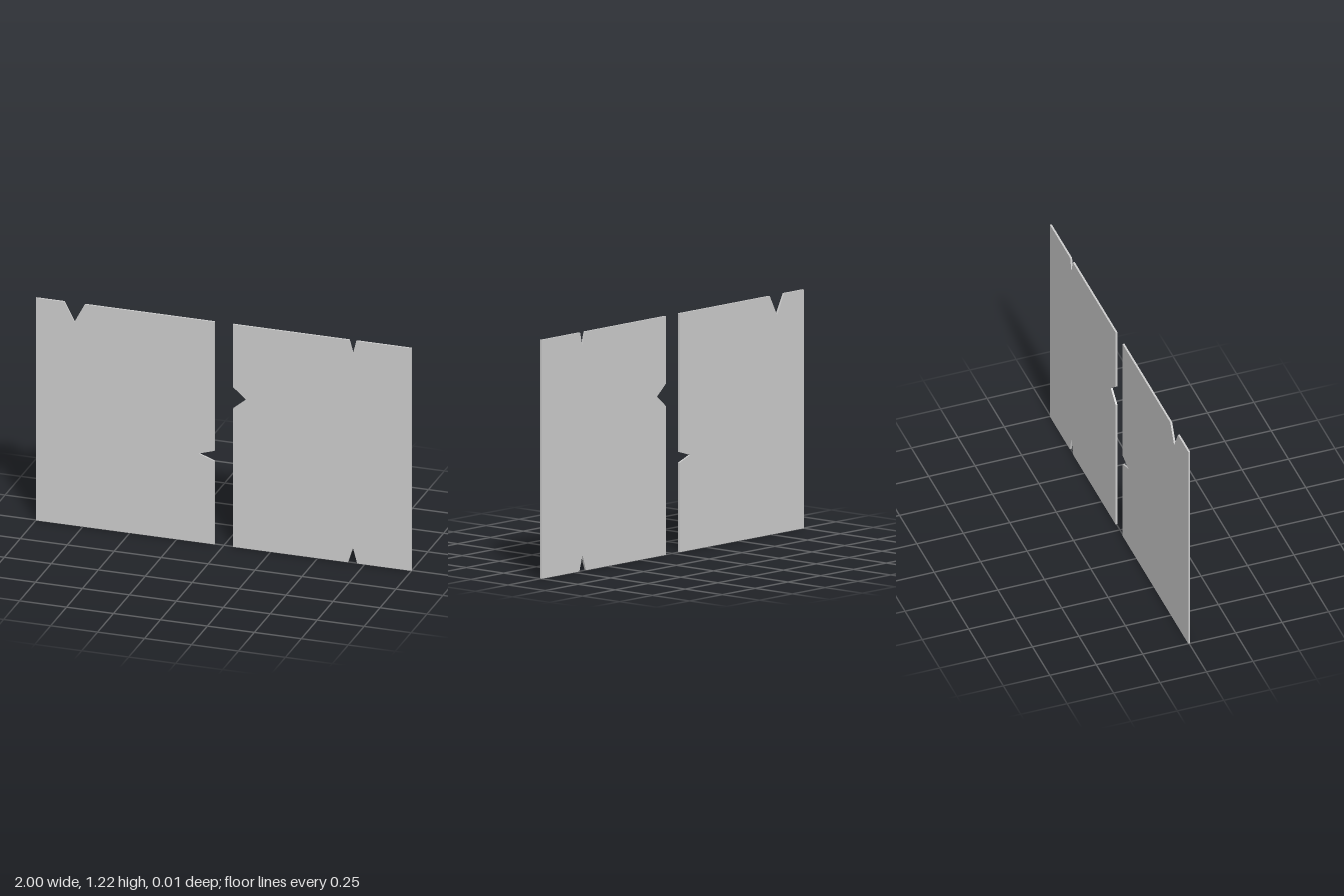
import * as THREE from 'three';

const HEIGHT = 1.222, THICKNESS = 0.01, INNER = 0.05, OUTER = 1;

// Thin upright panel cut from an outline, centred on z = 0
function makePanel(name, outline) {
  const shape = new THREE.Shape(outline.map(([x, y]) => new THREE.Vector2(x, y)));
  const geometry = new THREE.ExtrudeGeometry(shape, { depth: THICKNESS, bevelEnabled: false });
  geometry.translate(0, 0, -THICKNESS / 2);
  const material = new THREE.MeshStandardMaterial({ color: 0xcccccc, flatShading: true });
  const mesh = new THREE.Mesh(geometry, material);
  mesh.name = name;
  return mesh;
}

export function createModel() {
  const group = new THREE.Group();
  group.name = 'notchedPanels';

  // Right panel: notches in the inner side and the top
  group.add(makePanel('rightPanel', [
    [-OUTER, 0], [-INNER, 0],
    [-INNER, 0.457], [-0.134, 0.487], [-INNER, 0.513],
    [-INNER, HEIGHT],
    [-0.74, HEIGHT], [-0.795, 1.118], [-0.85, HEIGHT],
    [-OUTER, HEIGHT],
  ]));

  // Left panel: notches in the bottom, the top and the inner side
  group.add(makePanel('leftPanel', [
    [INNER, 0],
    [0.661, 0], [0.688, 0.083], [0.711, 0],
    [OUTER, 0], [OUTER, HEIGHT],
    [0.706, HEIGHT], [0.688, 1.15], [0.668, HEIGHT],
    [INNER, HEIGHT],
    [INNER, 0.877], [0.12, 0.818], [INNER, 0.76],
  ]));

  return group;
}
